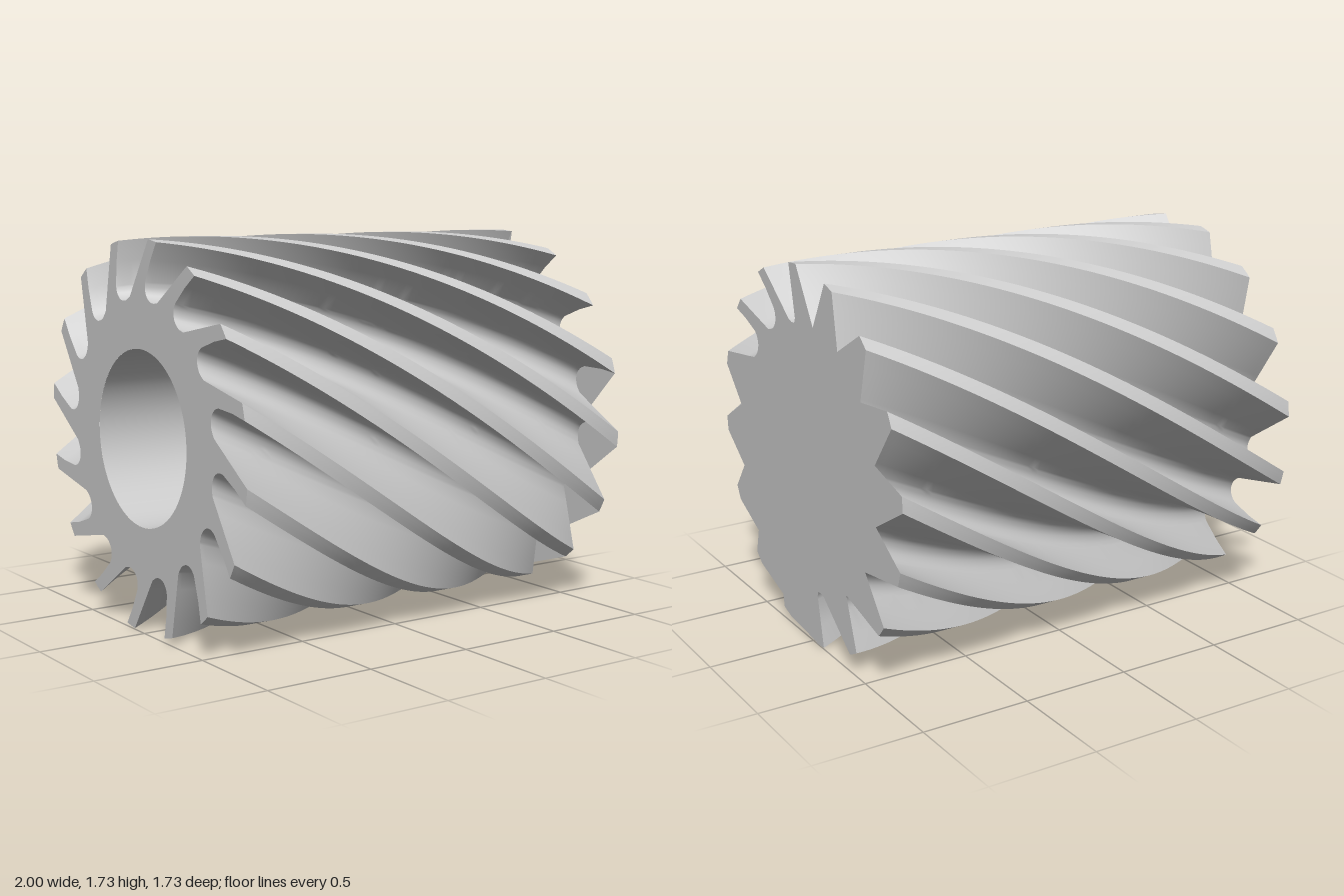
import * as THREE from 'three';
import { toCreasedNormals } from 'three/addons/utils/BufferGeometryUtils.js';

const R = 0.865, BORE = 0.39, TEETH = 16, STEP = 360 / TEETH;
const START = 290.2;      // angle of the first flute on the solid end
const TWIST = 86.5;       // helix turn over the full length, degrees
const SLICES = 72;

// Angles are clockwise from the top, looking along the axis at the solid end.
function polar(deg, r) {
  const a = THREE.MathUtils.degToRad(deg);
  return new THREE.Vector2(r * Math.sin(a), r * Math.cos(a));
}

// One flute: tooth back, rounded gullet, undercut tooth face (degrees, radius)
const rimIn = polar(0, R), wallEnd = polar(13.3, 0.617), rimOut = polar(17.8, R);
const gullet = new THREE.SplineCurve([
  wallEnd, polar(17.4, 0.603), polar(21.5, 0.616), polar(23.4, 0.648), polar(23.5, 0.68),
]).getPoints(12);
const land = [polar(19.4, R), polar(21, R)];
const back = [0, 0.25, 0.5, 0.75].map((t) => rimIn.clone().lerp(wallEnd, t));
const flute = [...back, ...gullet, polar(20.5, 0.78), rimOut, ...land];

const turn = (pts, deg) => {
  const a = -THREE.MathUtils.degToRad(deg), o = new THREE.Vector2();
  return pts.map((p) => p.clone().rotateAround(o, a));
};

// Full toothed outline, turned by the given angle
function outline(extra) {
  const pts = [];
  for (let k = 0; k < TEETH; k++) pts.push(...turn(flute, START + extra + k * STEP));
  return pts;
}

// Helical body from twisted cross-sections
function bodyGeometry() {
  const pos = [], idx = [];
  let n = 0;
  for (let j = 0; j <= SLICES; j++) {
    const t = j / SLICES;
    const ring = outline(TWIST * (1 - t));
    n = ring.length;
    for (const p of ring) pos.push(p.x, p.y, -1 + 2 * t);
  }
  for (let j = 0; j < SLICES; j++) {
    for (let i = 0; i < n; i++) {
      const a = j * n + i, b = j * n + (i + 1) % n;
      idx.push(a, a + n, b, b, a + n, b + n);
    }
  }
  const g = new THREE.BufferGeometry();
  g.setAttribute('position', new THREE.Float32BufferAttribute(pos, 3));
  g.setIndex(idx);
  return toCreasedNormals(g, 0.55);
}

// How far each notch of the solid end plate opens down the tooth back:
// 2 = whole flute, 1.5 = flute without undercut, otherwise a plain V
const notch = [2, 2, 1.5, 0.95, 0.82, 0.8, 0.82, 0.89, 0.95, 1, 1.5, 0.02, 0.2, 0.4, 0.54, 0.69];

function endPlateGeometry() {
  const pts = [];
  notch.forEach((d, k) => {
    let local;
    if (d === 2) local = flute;
    else if (d === 1.5) local = [rimIn, wallEnd, polar(15.5, 0.606), polar(18, 0.604), polar(19.2, 0.625), rimOut, ...land];
    else local = [rimIn, rimIn.clone().lerp(wallEnd, d), rimOut, ...land];
    pts.push(...turn(local, START + k * STEP));
  });
  return new THREE.ShapeGeometry(new THREE.Shape(pts)).translate(0, 0, 1);
}

// Open end: toothed ring around the bore, facing the other way
function boredEndGeometry() {
  const shape = new THREE.Shape(outline(TWIST).map((p) => new THREE.Vector2(-p.x, p.y)));
  const hole = new THREE.Path();
  hole.absarc(0, 0, BORE, 0, Math.PI * 2, true);
  shape.holes.push(hole);
  return new THREE.ShapeGeometry(shape, 64).rotateY(Math.PI).translate(0, 0, -1);
}

export function createModel() {
  const model = new THREE.Group();
  model.name = 'helicalCutter';
  const cutter = new THREE.Group();
  cutter.name = 'cutter';

  const add = (name, geometry, side) => {
    const mesh = new THREE.Mesh(geometry, new THREE.MeshStandardMaterial({ color: 0xcccccc, side }));
    mesh.name = name;
    cutter.add(mesh);
  };

  add('flutedBody', bodyGeometry(), THREE.FrontSide);
  add('solidEnd', endPlateGeometry(), THREE.DoubleSide);
  add('boredEnd', boredEndGeometry(), THREE.FrontSide);
  add('bore', new THREE.CylinderGeometry(BORE, BORE, 2, 64, 1, true).rotateX(Math.PI / 2), THREE.BackSide);

  // Lay the axis along x, resting on the ground
  cutter.rotation.y = Math.PI / 2;
  cutter.position.y = R;
  model.add(cutter);
  return model;
}
